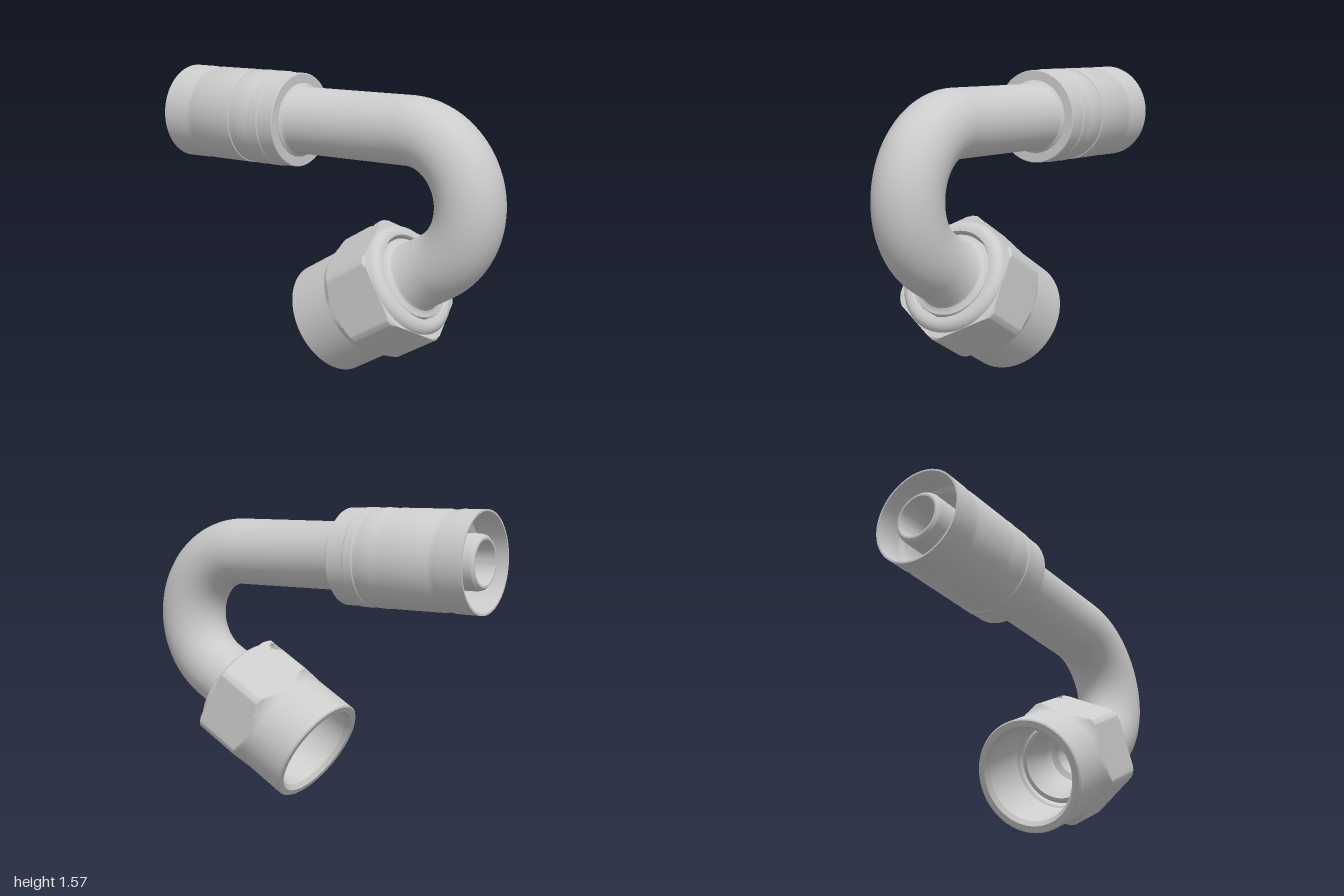
import * as THREE from 'three';
import { toCreasedNormals } from 'three/addons/utils/BufferGeometryUtils.js';
import { ParametricGeometry } from 'three/addons/geometries/ParametricGeometry.js';

const material = new THREE.MeshStandardMaterial({ color: 0xcccccc, side: THREE.DoubleSide });
const PIPE_R = 0.178, BORE_R = 0.11, BEND_R = 0.36;
const PIPE_Y = 1.32, BEND_Z = 0.462, BEND_ANGLE = THREE.MathUtils.degToRad(150);

function addMesh(parent, name, geometry) {
  const mesh = new THREE.Mesh(geometry, material);
  mesh.name = name;
  parent.add(mesh);
  return mesh;
}

// Turned part: profile is a list of [radius, distance along the axis].
function turned(parent, name, profile) {
  const points = profile.map(([r, s]) => new THREE.Vector2(r, s));
  return addMesh(parent, name, toCreasedNormals(new THREE.LatheGeometry(points, 72), 0.5));
}

// Quarter-round points from the face to the side of a rounded shoulder.
function roundShoulder(r, s, radius, steps = 7) {
  return Array.from({ length: steps + 1 }, (_, i) => {
    const a = (i / steps) * Math.PI / 2;
    return [r - radius + radius * Math.sin(a), s + radius - radius * Math.cos(a)];
  });
}

// 150 degree bend in the yz plane, starting at the top and sweeping to the front.
function addBend(parent, name, radius) {
  const geometry = new THREE.TorusGeometry(BEND_R, radius, 48, 72, BEND_ANGLE);
  geometry.applyMatrix4(new THREE.Matrix4().makeBasis(
    new THREE.Vector3(0, 1, 0), new THREE.Vector3(0, 0, 1), new THREE.Vector3(1, 0, 0)));
  addMesh(parent, name, geometry).position.set(0, PIPE_Y - BEND_R, BEND_Z);
}

// Hexagon trimmed by a turned profile, with a small pin hole in the top corner.
function hexGeometry() {
  const rows = [[0.27, 0.195], [0.328, 0.195], [0.337, 0.203]];
  for (let i = 0; i <= 36; i++) rows.push([0.338, 0.208 + i * 0.0071]);
  rows.push([0.334, 0.472], [0.324, 0.48], [0.313, 0.492], [0.304, 0.508], [0.299, 0.525]);
  const sides = 288, sixth = Math.PI / 3;
  const surface = (u, v, target) => {
    const [limit, s] = rows[Math.round(v * (rows.length - 1))];
    const angle = u * Math.PI * 2;
    let r = Math.min(limit, 0.301 / Math.cos((angle % sixth) - sixth / 2));
    const across = Math.sin(angle) * r;
    if (Math.cos(angle) > 0 && Math.hypot(across, s - 0.258) < 0.029) r = 0.27;
    target.set(Math.sin(angle) * r, s, Math.cos(angle) * r);
  };
  return toCreasedNormals(new ParametricGeometry(surface, sides, rows.length - 1), 0.35);
}

export function createModel() {
  const model = new THREE.Group();
  model.name = 'bentHoseFitting';

  // Curved section of pipe and its bore
  addBend(model, 'pipeBend', PIPE_R);
  addBend(model, 'boreBend', BORE_R);

  // Hose end: local y runs backwards along the straight pipe
  const hoseEnd = new THREE.Group();
  hoseEnd.name = 'hoseEnd';
  hoseEnd.position.set(0, PIPE_Y, 0);
  hoseEnd.rotation.x = -Math.PI / 2;
  model.add(hoseEnd);

  turned(hoseEnd, 'straightPipe', [
    [PIPE_R, -BEND_Z], [PIPE_R, 0.205], [0.184, 0.221], [0.197, 0.232], [0.197, 0.3],
    [0.14, 0.34], [0.14, 0.965], [0.135, 0.985], [0.122, 0.998], [0.112, 0.998],
    [BORE_R, 0.985], [BORE_R, -BEND_Z],
  ]);

  turned(hoseEnd, 'crimpCollar', [
    [0.19, 0.235], [0.247, 0.235], [0.251, 0.239], [0.251, 0.335], [0.255, 0.34],
    [0.255, 0.388], [0.25, 0.393], [0.25, 0.4], [0.254, 0.425], [0.256, 0.46],
    [0.254, 0.5], [0.249, 0.53], [0.249, 0.536], [0.255, 0.538], [0.255, 0.805],
    [0.252, 0.812], [0.25, 0.83], [0.252, 0.85], [0.256, 0.875], [0.257, 1.0],
    [0.247, 1.0], [0.245, 0.84], [0.222, 0.82], [0.222, 0.33], [0.14, 0.33],
  ]);

  // Swivel end: local y follows the pipe as it leaves the bend
  const swivelEnd = new THREE.Group();
  swivelEnd.name = 'swivelEnd';
  swivelEnd.position.set(0, PIPE_Y - BEND_R + BEND_R * Math.cos(BEND_ANGLE),
    BEND_Z + BEND_R * Math.sin(BEND_ANGLE));
  swivelEnd.rotation.x = -Math.PI * 2 / 3;
  model.add(swivelEnd);

  turned(swivelEnd, 'pipeNipple', [
    [PIPE_R, 0], [PIPE_R, 0.14], [0.185, 0.155], [0.2, 0.165], [0.215, 0.167], [0.218, 0.172],
    [0.218, 0.44], [0.205, 0.45], [0.19, 0.45], [0.14, 0.34], [0.14, 0.25], [BORE_R, 0.23], [BORE_R, 0],
  ]);

  turned(swivelEnd, 'nutBody', [
    [0.228, 0.26], [0.228, 0.165], [0.233, 0.156],
    ...roundShoulder(0.3, 0.155, 0.05),
    [0.3, 0.26], [0.265, 0.27], [0.265, 0.5], [0.3, 0.51], [0.3, 0.765], [0.293, 0.772],
    [0.262, 0.772], [0.242, 0.748], [0.242, 0.46], [0.232, 0.45], [0.228, 0.26],
  ]);

  addMesh(swivelEnd, 'nutHexagon', hexGeometry());

  return model;
}
